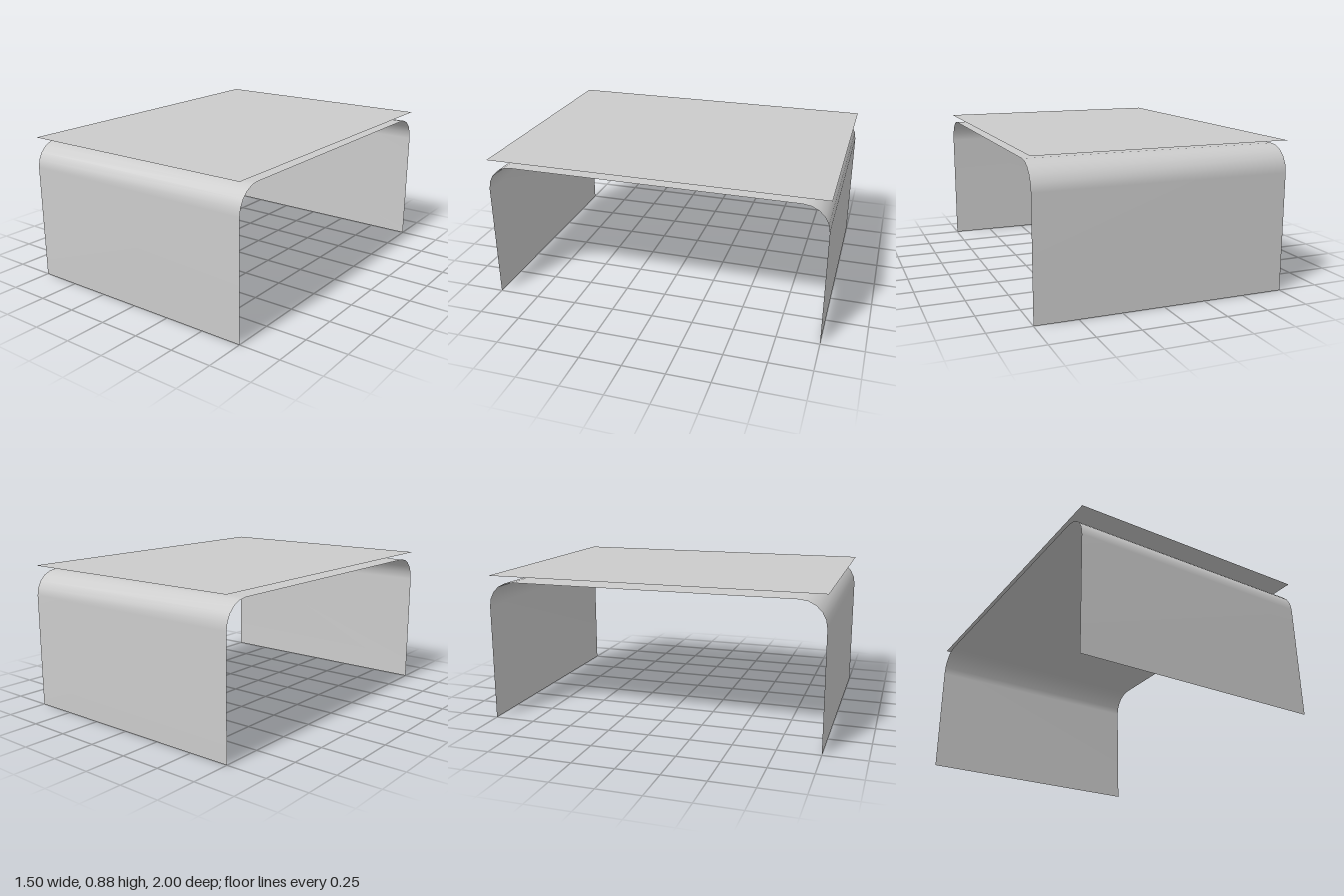
import * as THREE from 'three';

const WIDTH = 1.5, TOP = 0.885, SHEET_TOP = 0.85, R = 0.15, BEND_STEPS = 5;

// Side profile of the bent sheet as [z, y], from the front foot to the back foot
function sheetProfile() {
  const front = [[1, 0]];
  for (let i = 0; i <= BEND_STEPS; i++) {
    const a = (i / BEND_STEPS) * Math.PI / 2;
    front.push([1 - R + R * Math.cos(a), SHEET_TOP - R + R * Math.sin(a)]);
  }
  const back = front.map(([z, y]) => [-z, y]).reverse();
  return [...front, ...back];
}

export function createModel() {
  const group = new THREE.Group();
  const material = new THREE.MeshStandardMaterial({ color: 0xcccccc, side: THREE.DoubleSide });

  // Flat top panel, floating just above the sheet
  const top = new THREE.Mesh(new THREE.PlaneGeometry(WIDTH, 2).rotateX(-Math.PI / 2), material);
  top.name = 'topPanel';
  top.position.y = TOP;
  group.add(top);

  // Bent sheet forming both legs: a plane whose rows follow the profile
  const profile = sheetProfile();
  const geometry = new THREE.PlaneGeometry(WIDTH, 1, 1, profile.length - 1);
  const pos = geometry.attributes.position;
  for (let i = 0; i < pos.count; i++) {
    // rows run front to back, so x is mirrored to keep the outside facing out
    const [z, y] = profile[Math.floor(i / 2)];
    pos.setXYZ(i, -pos.getX(i), y, z);
  }
  geometry.computeVertexNormals();
  const sheet = new THREE.Mesh(geometry, material);
  sheet.name = 'bentLegSheet';
  group.add(sheet);

  return group;
}
